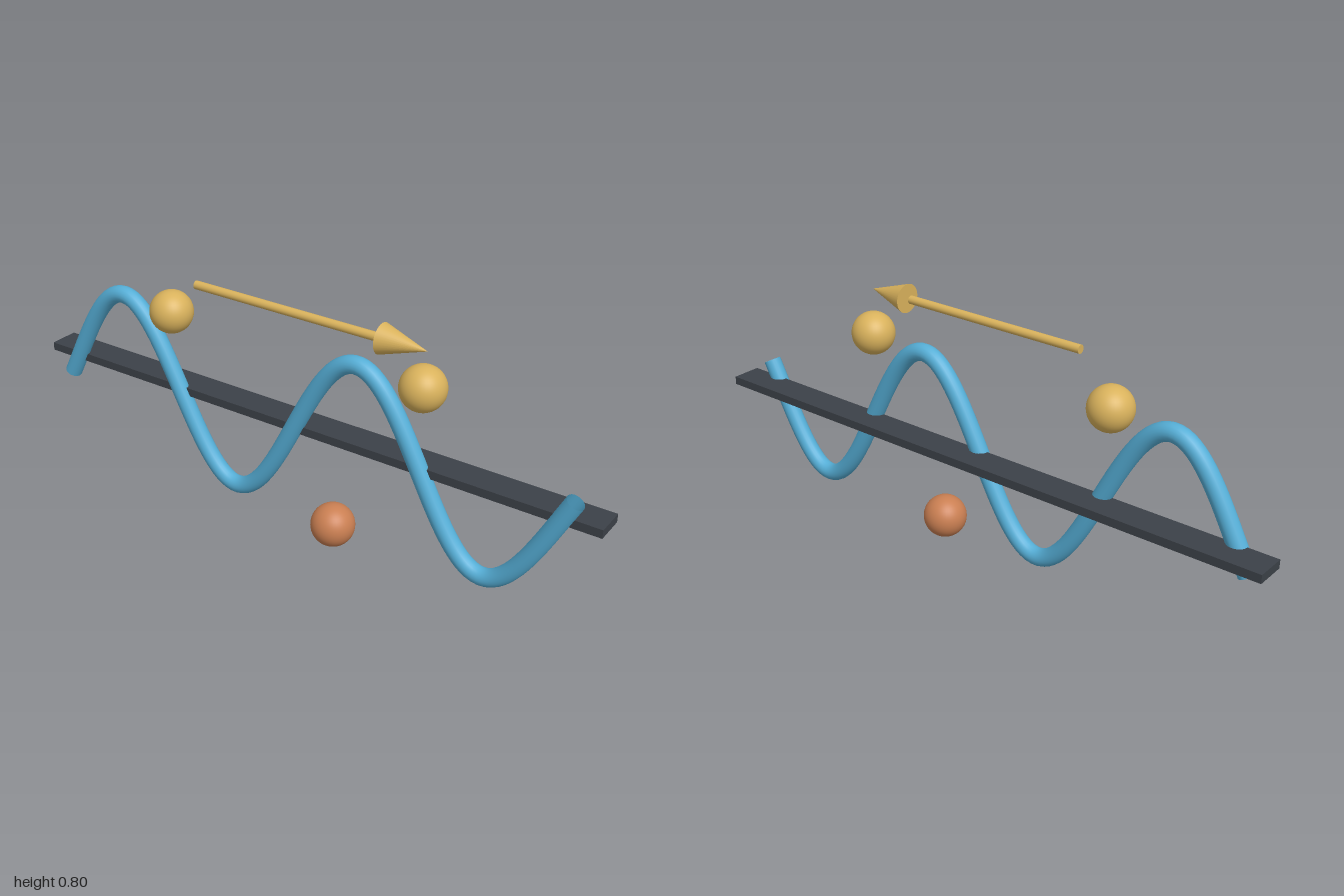
import * as THREE from 'three';

const material = (name, color, side = THREE.FrontSide) => {
  const m = new THREE.MeshStandardMaterial({ color, side });
  m.name = name;
  return m;
};

// Sine path running along x
class SineCurve extends THREE.Curve {
  getPoint(t, target = new THREE.Vector3()) {
    const x = (t * 2 - 1) * 0.915;
    return target.set(x, 0.349 + 0.275 * Math.sin((2 * Math.PI * x) / 0.88), 0);
  }
}

export function createModel() {
  const group = new THREE.Group();
  const blue = material('waveBlue', 0x55aed6, THREE.DoubleSide);
  const gold = material('gold', 0xd9b25c);
  const copper = material('copper', 0xca7f52);
  const dark = material('darkGrey', 0x3c4148);

  const add = (name, geometry, mat, x, y, z) => {
    const mesh = new THREE.Mesh(geometry, mat);
    mesh.name = name;
    mesh.position.set(x, y, z);
    group.add(mesh);
    return mesh;
  };

  // Flat bar along the wave's axis
  add('axisBar', new THREE.BoxGeometry(2, 0.027, 0.098), dark, 0, 0.349, -0.047);

  // Open-ended wave tube
  add('waveTube', new THREE.TubeGeometry(new SineCurve(), 180, 0.028, 20, false), blue, 0, 0, 0);

  // Balls above and below the wave
  const ball = new THREE.SphereGeometry(0.069, 40, 24);
  for (const side of [-1, 1]) {
    add(side < 0 ? 'rightUpperBall' : 'leftUpperBall', ball, gold, side * 0.448, 0.626, 0.018);
  }
  add('lowerBall', ball, copper, 0.16, 0.072, 0.018);

  // Direction arrow, with a small gap between shaft and head
  const shaft = new THREE.CylinderGeometry(0.0133, 0.0133, 0.634, 24).rotateZ(-Math.PI / 2);
  add('arrowShaft', shaft, gold, -0.002, 0.757, 0.05);
  const head = new THREE.ConeGeometry(0.046, 0.144, 32).rotateZ(-Math.PI / 2);
  add('arrowHead', head, gold, 0.402, 0.757, 0.05);

  return group;
}
